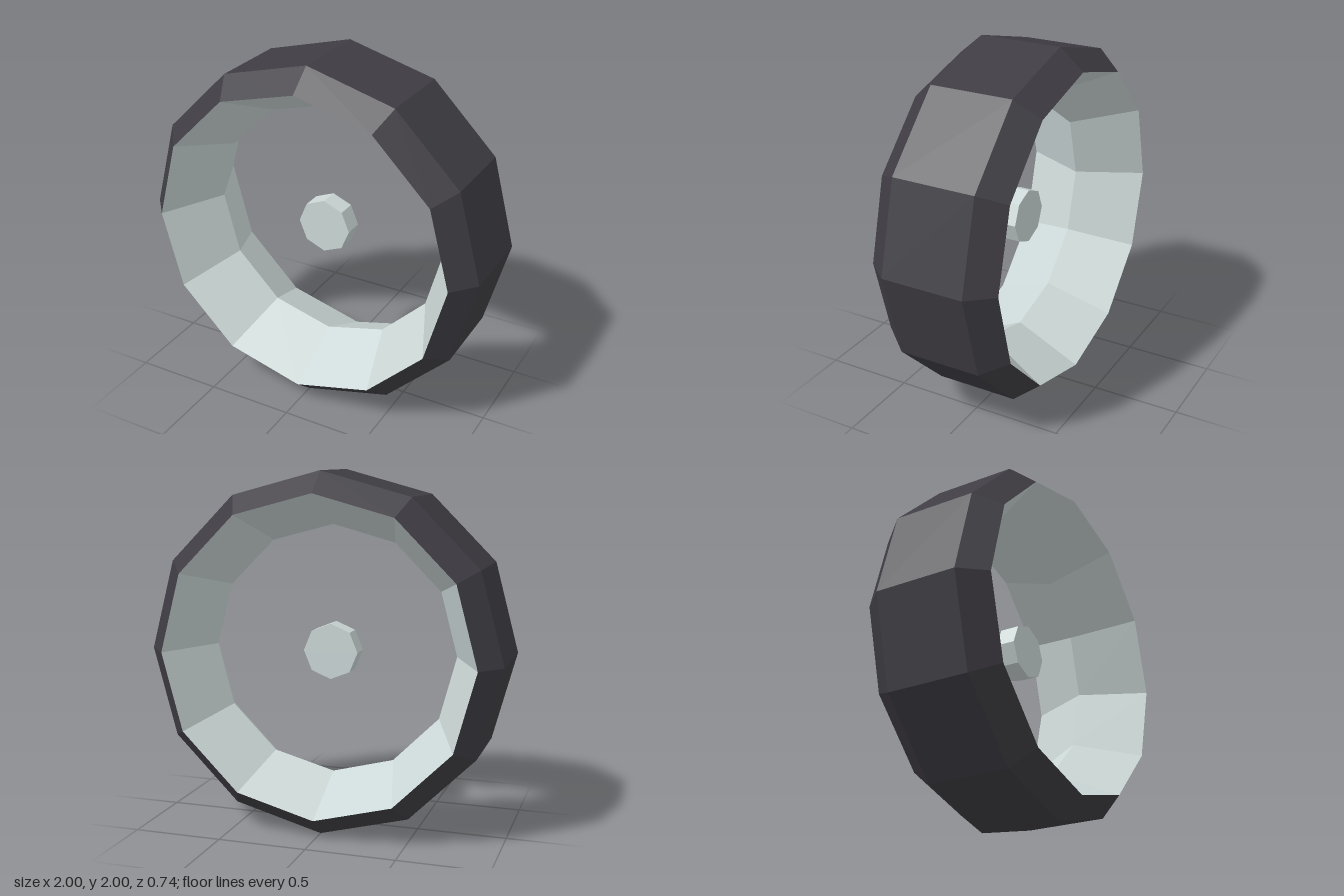
import * as THREE from 'three';

// Gives every face its own flat normal and turns the axis from y to z
function faceted(geometry) {
  const flat = geometry.rotateX(Math.PI / 2).toNonIndexed();
  flat.computeVertexNormals();
  return flat;
}

function ring(profile, sides) {
  return faceted(new THREE.LatheGeometry(profile.map(([r, z]) => new THREE.Vector2(r, z)), sides));
}

export function createModel() {
  const rubber = new THREE.MeshStandardMaterial({ color: 0x3f3d43 });
  rubber.name = 'dark rubber';
  const metal = new THREE.MeshStandardMaterial({ color: 0xcbd7d6 });
  metal.name = 'pale metal';

  const wheel = new THREE.Group();
  wheel.name = 'wheel';
  const add = (name, geometry, material) => {
    const mesh = new THREE.Mesh(geometry, material);
    mesh.name = name;
    mesh.position.y = 1;
    wheel.add(mesh);
  };

  // Tyre: flat tread with a bevelled shoulder on each side
  add('tyre', ring([[0.885, -0.37], [1, -0.235], [1, 0.235], [0.885, 0.37]], 12), rubber);

  // Rim: two funnels meeting at a narrow waist, facing the axle
  add('rim', ring([[0.885, 0.37], [0.705, 0], [0.885, -0.37]], 12), metal);

  // Hub: small eight-sided disc at the centre
  add('hub', faceted(new THREE.CylinderGeometry(0.157, 0.157, 0.11, 8)), metal);

  return wheel;
}
